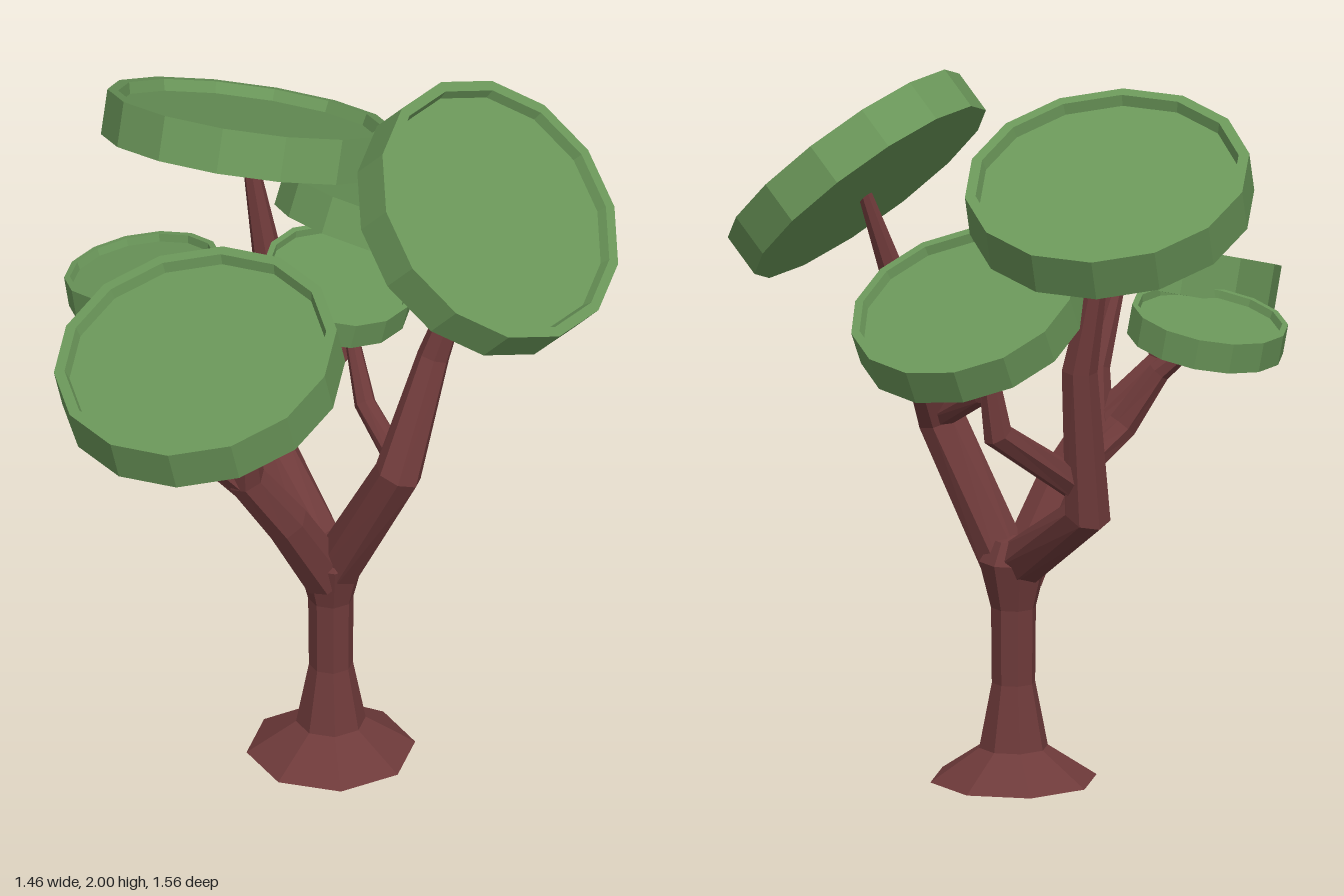
import * as THREE from 'three';

const bark = new THREE.MeshStandardMaterial({ color: 0x6e3a3a, flatShading: true });
const leaf = new THREE.MeshStandardMaterial({ color: 0x6a9659, flatShading: true });

// Lathe from [radius, y] pairs, listed from bottom to top
function lathe(name, profile, sides, material) {
  const points = profile.map(([r, y]) => new THREE.Vector2(r, y));
  const mesh = new THREE.Mesh(new THREE.LatheGeometry(points, sides), material);
  mesh.name = name;
  return mesh;
}

// Faceted limb: rings of given radius lofted through nodes [x, y, z, radius]
function limb(name, nodes, sides = 7) {
  const centers = nodes.map(([x, y, z]) => new THREE.Vector3(x, y, z));
  const last = nodes.length - 1;
  const positions = [], index = [];
  centers.forEach((c, i) => {
    const t = new THREE.Vector3();
    if (i > 0) t.add(c.clone().sub(centers[i - 1]).normalize());
    if (i < last) t.add(centers[i + 1].clone().sub(c).normalize());
    t.normalize();
    const u = new THREE.Vector3(1, 0, 0).addScaledVector(t, -t.x).normalize();
    const v = t.clone().cross(u);
    for (let k = 0; k < sides; k++) {
      const a = (k / sides) * Math.PI * 2, r = nodes[i][3];
      const p = c.clone().addScaledVector(u, r * Math.cos(a)).addScaledVector(v, r * Math.sin(a));
      positions.push(p.x, p.y, p.z);
    }
  });
  for (let k = 0; k < sides; k++) {
    const n = (k + 1) % sides;
    for (let i = 0; i < last; i++) {
      const a = i * sides, b = a + sides;
      index.push(a + k, a + n, b + n, a + k, b + n, b + k);
    }
    // End caps
    if (k > 0 && k < sides - 1) {
      const e = last * sides;
      index.push(0, n, k, e, e + k, e + n);
    }
  }
  const geometry = new THREE.BufferGeometry();
  geometry.setAttribute('position', new THREE.Float32BufferAttribute(positions, 3));
  geometry.setIndex(index);
  geometry.computeVertexNormals();
  const mesh = new THREE.Mesh(geometry, bark);
  mesh.name = name;
  return mesh;
}

// Tilted foliage disc with a raised rim around a shallow recess
function foliage(name, center, normal, r, thickness) {
  const h = thickness / 2;
  const disc = lathe(name, [
    [0, -h], [r, -h], [r, h], [r * 0.925, h], [r * 0.905, h - thickness * 0.25], [0, h - thickness * 0.25],
  ], 14, leaf);
  disc.position.set(...center);
  disc.quaternion.setFromUnitVectors(
    new THREE.Vector3(0, 1, 0), new THREE.Vector3(...normal).normalize());
  return disc;
}

export function createModel() {
  const tree = new THREE.Group();
  tree.name = 'tree';

  // Trunk with flared foot
  const trunk = lathe('trunk', [
    [0, 0], [0.23, 0], [0.095, 0.09], [0.06, 0.27], [0.062, 0.48], [0.095, 0.61], [0.06, 0.67], [0, 0.68],
  ], 8, bark);
  trunk.position.set(0.075, 0, -0.02);
  tree.add(trunk);

  // Main boughs and the smaller branches forking from them
  const limbs = {
    leftBough: [[0.08, 0.56, -0.02, 0.07], [0.315, 0.97, -0.01, 0.066], [0.315, 1.27, -0.165, 0.045], [0.4, 1.66, -0.27, 0.018]],
    rightBough: [[0.06, 0.6, -0.02, 0.07], [-0.25, 0.81, -0.15, 0.065], [-0.25, 1.22, -0.19, 0.05], [-0.34, 1.69, -0.18, 0.018]],
    frontBough: [[0.075, 0.56, 0, 0.07], [0.04, 0.78, 0.13, 0.062], [-0.02, 0.95, 0.235, 0.055], [0, 1.1, 0.27, 0.04], [-0.01, 1.34, 0.38, 0.018]],
    frontFork: [[-0.01, 0.92, 0.22, 0.05], [-0.15, 1.12, 0.37, 0.04], [-0.12, 1.34, 0.38, 0.018]],
    backBranch: [[-0.23, 0.88, -0.15, 0.045], [-0.13, 1.07, -0.41, 0.042], [-0.09, 1.4, -0.44, 0.018]],
    rightTwig: [[-0.25, 0.96, -0.14, 0.04], [-0.29, 1.04, -0.04, 0.042], [-0.37, 1.19, 0.02, 0.032], [-0.49, 1.3, 0.07, 0.016]],
    innerTwig: [[0.31, 0.98, -0.03, 0.035], [0.13, 1.08, -0.1, 0.03], [0.0, 1.34, -0.17, 0.014]],
  };
  for (const [name, nodes] of Object.entries(limbs)) tree.add(limb(name, nodes));

  // Foliage discs: centre, facing, radius, thickness
  tree.add(
    foliage('frontFoliage', [-0.055, 1.365, 0.39], [0, 0.955, 0.297], 0.39, 0.125),
    foliage('rightFoliage', [-0.345, 1.725, -0.185], [-0.12, 0.917, -0.38], 0.39, 0.125),
    foliage('leftFoliage', [0.415, 1.695, -0.275], [0.69, 0.72, 0], 0.385, 0.125),
    foliage('backFoliage', [-0.075, 1.41, -0.475], [0, 0.89, -0.46], 0.315, 0.105),
    foliage('smallRightFoliage', [-0.495, 1.315, 0.07], [-0.2, 0.98, 0], 0.215, 0.085),
    foliage('innerFoliage', [-0.03, 1.355, -0.18], [0.24, 0.97, 0], 0.21, 0.08),
  );
  return tree;
}
